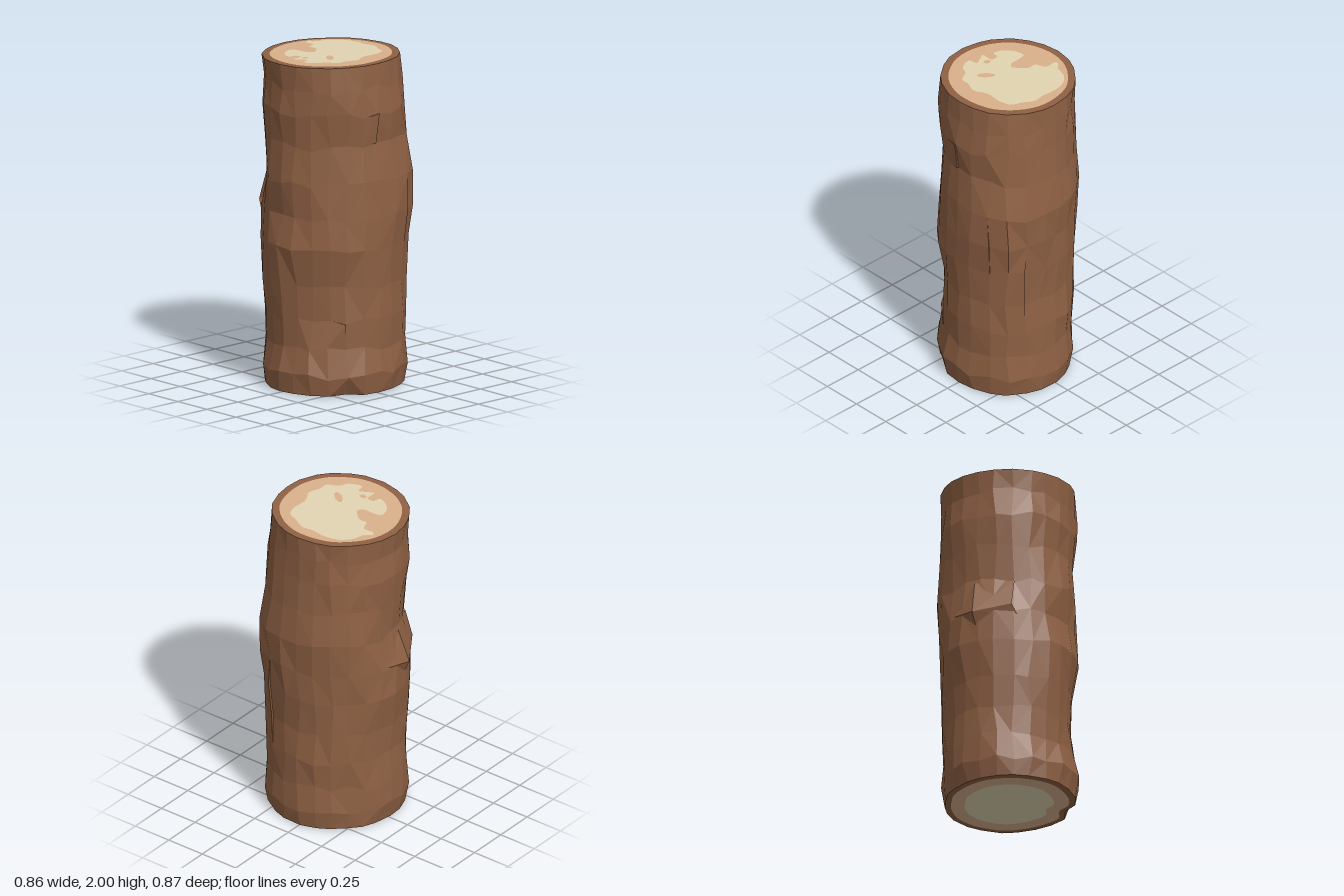
import * as THREE from 'three';

const SIDES = 24;
// Each row: height, then radius every 45 degrees from +z, turning towards +x
const ROWS = [
  [0.006, 0.415, 0.43, 0.40, 0.36, 0.365, 0.39, 0.41, 0.405],
  [0.12, 0.435, 0.45, 0.42, 0.37, 0.39, 0.40, 0.43, 0.425],
  [0.28, 0.415, 0.435, 0.405, 0.365, 0.385, 0.385, 0.39, 0.40],
  [0.45, 0.42, 0.44, 0.41, 0.38, 0.37, 0.39, 0.395, 0.38],
  [0.65, 0.415, 0.445, 0.395, 0.378, 0.385, 0.405, 0.41, 0.385],
  [0.88, 0.425, 0.455, 0.405, 0.38, 0.42, 0.415, 0.43, 0.425],
  [1.07, 0.43, 0.48, 0.41, 0.40, 0.415, 0.412, 0.395, 0.415],
  [1.28, 0.425, 0.48, 0.43, 0.41, 0.375, 0.375, 0.42, 0.40],
  [1.50, 0.395, 0.445, 0.41, 0.395, 0.39, 0.39, 0.39, 0.39],
  [1.70, 0.425, 0.43, 0.395, 0.387, 0.405, 0.405, 0.415, 0.415],
  [1.85, 0.405, 0.42, 0.395, 0.385, 0.39, 0.395, 0.40, 0.42],
  [2.00, 0.40, 0.405, 0.395, 0.39, 0.405, 0.41, 0.405, 0.405],
];

const topHeight = z => 1.988 + 0.027 * z;

function seeded(seed) {
  return () => {
    seed = (seed * 16807) % 2147483647;
    return seed / 2147483647 - 0.5;
  };
}

// Grid of trunk points: rings[row][side]; angle 0 faces +z and turns towards +x
function makeRings() {
  const rand = seeded(4217);
  return ROWS.map(([y, ...r], j) => {
    const end = j === 0 || j === ROWS.length - 1;
    return Array.from({ length: SIDES }, (_, i) => {
      const u = (i / SIDES) * 8;
      const k = Math.floor(u);
      const f = u - k;
      let radius = r[k] * (1 - f) + r[(k + 1) % 8] * f;
      const wobble = rand(), twist = rand(), lift = rand();
      if (i % 3) radius += wobble * (end ? 0.008 : 0.016);
      const angle = (i / SIDES) * Math.PI * 2 + twist * 0.08;
      // Notch at the foot
      if (j === 0 && i === 22) radius -= 0.04;
      const x = Math.sin(angle) * radius, z = Math.cos(angle) * radius;
      const h = j === 0 ? y : end ? topHeight(z) : y + lift * 0.04;
      return new THREE.Vector3(x, h, z);
    });
  });
}

// Flat-sided mesh from a list of triangles
function facetMesh(name, triangles, material) {
  const geometry = new THREE.BufferGeometry().setFromPoints(triangles.flat());
  geometry.computeVertexNormals();
  const mesh = new THREE.Mesh(geometry, material);
  mesh.name = name;
  return mesh;
}

// Horizontal plate from [x, z] points
function plate(name, points, holes, heightAt, up, material) {
  const sign = up ? -1 : 1;
  const toPath = list => list.map(([x, z]) => new THREE.Vector2(x, sign * z));
  const shape = new THREE.Shape(toPath(points));
  holes.forEach(hole => shape.holes.push(new THREE.Path(toPath(hole))));
  const geometry = new THREE.ShapeGeometry(shape);
  geometry.rotateX((sign * Math.PI) / 2);
  const p = geometry.attributes.position;
  for (let i = 0; i < p.count; i++) p.setY(i, heightAt(p.getZ(i)));
  geometry.computeVertexNormals();
  const mesh = new THREE.Mesh(geometry, material);
  mesh.name = name;
  return mesh;
}

function smoothLoop(points, steps) {
  const curve = new THREE.CatmullRomCurve3(
    points.map(([x, z]) => new THREE.Vector3(x, 0, z)), true, 'centripetal');
  return curve.getPoints(steps).slice(0, -1).map(p => [p.x, p.z]);
}

function oval(cx, cz, a, b, turn) {
  return Array.from({ length: 14 }, (_, i) => {
    const t = (i / 14) * Math.PI * 2;
    const x = Math.cos(t) * a, z = Math.sin(t) * b;
    return [cx + x * Math.cos(turn) - z * Math.sin(turn), cz + x * Math.sin(turn) + z * Math.cos(turn)];
  });
}

export function createModel() {
  const group = new THREE.Group();
  group.name = 'log';
  const paint = (name, color) => {
    const material = new THREE.MeshStandardMaterial({ color, side: THREE.DoubleSide, flatShading: true });
    material.name = name;
    return material;
  };
  const bark = paint('bark brown', 0x8f6144);
  const sapwood = paint('sapwood tan', 0xdab08b);
  const heartwood = paint('heartwood cream', 0xe2d5b2);

  // Bark trunk, with alternating diagonals
  const rings = makeRings();
  const last = rings.length - 1;
  const sides = [];
  for (let j = 0; j < last; j++) {
    for (let i = 0; i < SIDES; i++) {
      const n = (i + 1) % SIDES;
      const a = rings[j][i], b = rings[j][n], c = rings[j + 1][n], d = rings[j + 1][i];
      if ((i * 7 + j * 3) % 5 < 3) sides.push([a, b, c], [a, c, d]);
      else sides.push([a, b, d], [b, c, d]);
    }
  }
  group.add(facetMesh('barkTrunk', sides, bark));

  // Lifted bark creases: [row, side, lift of lower corner, lift of upper corner]
  const flakes = [
    [8, 23, 0.01, 0.006], [5, 1, 0.004, 0.012], [6, 1, 0.012, 0], [2, 21, 0.004, 0.01],
    [3, 3, 0, 0.01], [4, 3, 0.01, 0.01], [5, 3, 0.01, 0],
  ];
  const flakeFaces = [];
  const liftOut = (p, amount) => {
    const r = Math.hypot(p.x, p.z);
    return new THREE.Vector3(p.x * (1 + amount / r), p.y, p.z * (1 + amount / r));
  };
  for (const [j, i, low, high] of flakes) {
    const n = (i + 1) % SIDES;
    const a = rings[j][i], b = rings[j][n], c = rings[j + 1][n], d = rings[j + 1][i];
    const bo = liftOut(b, low), co = liftOut(c, high);
    flakeFaces.push([a, bo, co], [a, co, d], [bo, b, c], [bo, c, co], [a, b, bo], [d, co, c]);
  }
  group.add(facetMesh('barkFlakes', flakeFaces, bark));

  // Broken branch ledge on the back, with a shadowed gap beneath its lip
  const tip = new THREE.Vector3(-0.1, 1.06, -0.435);
  const lip = new THREE.Vector3(-0.295, 1.1, -0.305), lipEnd = new THREE.Vector3(-0.31, 1.04, -0.27);
  const crownEast = new THREE.Vector3(-0.07, 1.27, -0.375), crownWest = new THREE.Vector3(-0.28, 1.27, -0.26);
  const east = new THREE.Vector3(0.06, 1.08, -0.405);
  const under = new THREE.Vector3(-0.1, 0.98, -0.4);
  group.add(facetMesh('branchLedge', [
    [tip, lip, crownWest], [tip, crownWest, crownEast], [east, tip, crownEast],
    [tip, lipEnd, lip], [tip, east, under], [tip, under, lipEnd],
  ], bark));

  // Cut ends: bark rim, sapwood, heartwood
  const outline = (ring, scale) => ring.map(p => [p.x * scale, p.z * scale]);
  const top = rings[last], foot = rings[0];
  group.add(plate('topBarkRim', outline(top, 1), [], topHeight, true, bark));
  group.add(plate('topSapwood', smoothLoop(outline(top, 0.885), 80), [],
    z => topHeight(z) + 0.002, true, sapwood));
  const heart = [
    [0.07, -0.3], [0.09, -0.31], [0.13, -0.27], [0.2, -0.25], [0.26, -0.19], [0.285, -0.1],
    [0.28, 0], [0.29, 0.06], [0.25, 0.14], [0.225, 0.2], [0.15, 0.225], [0.07, 0.22],
    [0.03, 0.23], [-0.03, 0.26], [-0.1, 0.235], [-0.16, 0.23], [-0.2, 0.165], [-0.25, 0.14],
    [-0.28, 0.06], [-0.23, 0.045], [-0.25, 0], [-0.27, -0.04], [-0.2, -0.045], [-0.2, -0.09],
    [-0.24, -0.1], [-0.23, -0.15], [-0.17, -0.21], [-0.11, -0.22], [-0.095, -0.17],
    [-0.09, -0.1], [-0.06, -0.08], [-0.03, -0.1], [0.01, -0.15], [0.01, -0.2], [0.07, -0.23],
  ];
  const spots = [oval(-0.1, 0.095, 0.055, 0.022, -0.9), oval(-0.2, -0.01, 0.017, 0.022, 0)];
  group.add(plate('topHeartwood', smoothLoop(heart, 140), spots,
    z => topHeight(z) + 0.004, true, heartwood));

  group.add(plate('footBarkRim', outline(foot, 1), [], () => 0.006, false, bark));
  group.add(plate('footSapwood', smoothLoop(outline(foot, 0.9), 80), [], () => 0.003, false, sapwood));
  group.add(plate('footHeartwood', smoothLoop(outline(foot, 0.68), 80), [], () => 0, false, heartwood));

  return group;
}
